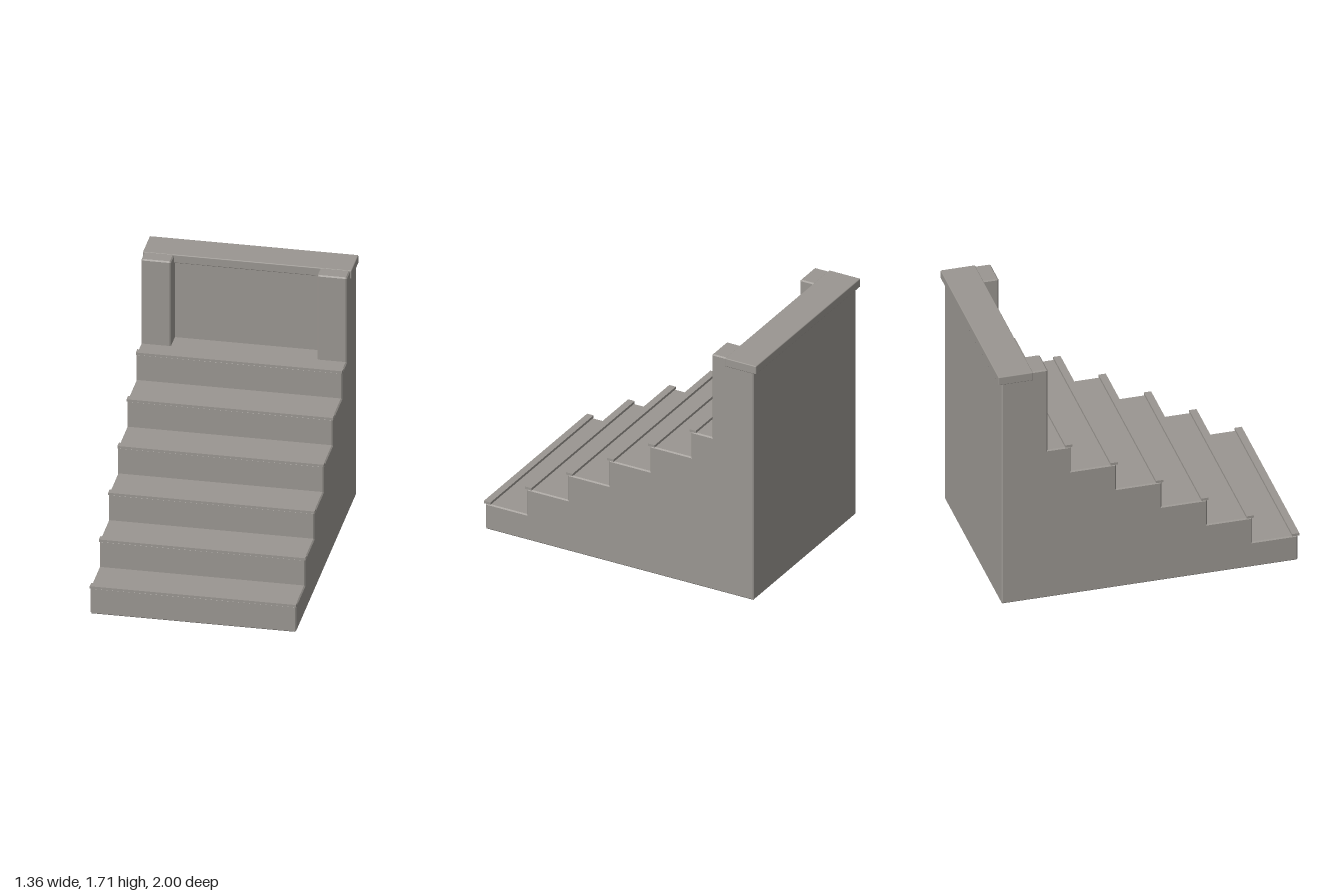
import * as THREE from 'three';
import { RoundedBoxGeometry } from 'three/addons/geometries/RoundedBoxGeometry.js';

const HALF_W = 0.67, BEVEL = 0.008;
const STEPS = 6, RISE = 0.184, RUN = 0.3012;
const BACK = -0.975;

// Closed shape (counter-clockwise points) with its outward corners chamfered.
function chamferedShape(pts, c) {
  const V = pts.map(p => new THREE.Vector2(...p));
  const out = [];
  V.forEach((p, i) => {
    const a = V[(i + V.length - 1) % V.length].clone().sub(p).normalize();
    const b = V[(i + 1) % V.length].clone().sub(p).normalize();
    if (b.cross(a) > 0) out.push(p.clone().addScaledVector(a, c), p.clone().addScaledVector(b, c));
    else out.push(p);
  });
  return new THREE.Shape(out);
}

// Extrusion whose outer size is exactly the shape by the depth, with bevelled ends.
function bevelledExtrude(shape, depth) {
  const g = new THREE.ExtrudeGeometry(shape, {
    depth: depth - 2 * BEVEL, bevelEnabled: true, bevelSegments: 1,
    bevelSize: BEVEL, bevelThickness: BEVEL, bevelOffset: -BEVEL,
  });
  return g.translate(0, 0, BEVEL);
}

export function createModel() {
  const group = new THREE.Group();
  const stone = new THREE.MeshStandardMaterial({ color: 0x9a9691 });
  stone.name = 'warm grey stone';
  const add = (name, geometry, x = 0, y = 0, z = 0) => {
    const mesh = new THREE.Mesh(geometry, stone);
    mesh.name = name;
    mesh.position.set(x, y, z);
    group.add(mesh);
  };

  // Solid staircase, drawn as a side profile (z, y) and extruded across x
  const profile = [[BACK, 0], [0.99, 0]];
  for (let i = 0; i < STEPS; i++) {
    const top = (i + 1) * RISE;
    profile.push([0.99 - i * RUN, top]);
    profile.push([i < STEPS - 1 ? 0.99 - (i + 1) * RUN : BACK, top]);
  }
  const body = bevelledExtrude(chamferedShape(profile, 0.006), 2 * HALF_W);
  body.rotateY(-Math.PI / 2).translate(HALF_W, 0, 0);
  add('staircase', body);

  // Thin nosing along the front of every tread
  for (let i = 0; i < STEPS; i++) {
    add('nosing', new THREE.BoxGeometry(1.344, 0.017, 0.048),
      0, (i + 1) * RISE + 0.0085, 0.976 - i * RUN);
  }

  // Back wall with a pillar at each side, drawn as a U in plan (x, -z)
  const pillarFront = 0.67, wallFront = 0.80, inner = 0.476;
  const plan = [
    [-HALF_W, pillarFront], [-inner, pillarFront], [-inner, wallFront], [inner, wallFront],
    [inner, pillarFront], [HALF_W, pillarFront], [HALF_W, -BACK], [-HALF_W, -BACK],
  ];
  const base = STEPS * RISE - 2 * BEVEL;
  const wall = bevelledExtrude(chamferedShape(plan, BEVEL), 1.708 - base);
  wall.rotateX(-Math.PI / 2);
  add('backWallAndPillars', wall, 0, base, 0);

  // Coping slab overhanging the wall
  add('coping', new RoundedBoxGeometry(1.36, 0.06, 0.23, 1, 0.006), 0, 1.68, -0.885);

  return group;
}
